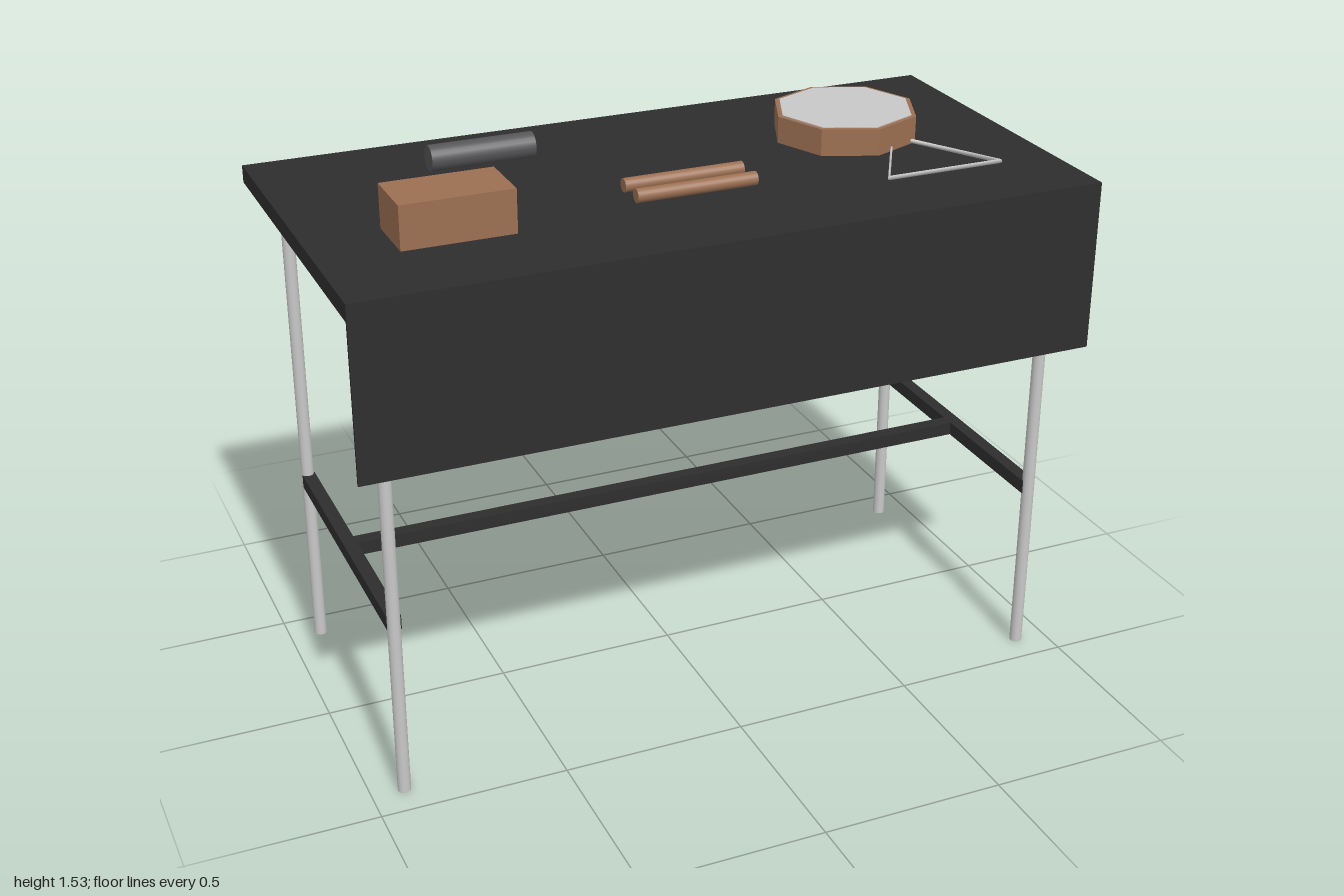
import * as THREE from 'three';

const mat = (name, color) => Object.assign(new THREE.MeshStandardMaterial({ color }), { name });

export function createModel() {
  const black = mat('black', 0x2e2e2e);
  const metal = mat('metal', 0xc8c8c8);
  const wood = mat('wood', 0x9c7052);
  const skin = mat('drum skin', 0xc8c8c8);
  const grey = mat('dark grey', 0x555558);

  const model = new THREE.Group();
  model.name = 'percussionTable';

  const add = (name, geometry, material, x, y, z) => {
    const mesh = new THREE.Mesh(geometry, material);
    mesh.name = name;
    mesh.position.set(x, y, z);
    model.add(mesh);
    return mesh;
  };
  const box = (name, material, w, h, d, x, y, z) =>
    add(name, new THREE.BoxGeometry(w, h, d), material, x, y, z);
  const rodX = (name, material, r, length, x, y, z) =>
    add(name, new THREE.CylinderGeometry(r, r, length, 24).rotateZ(Math.PI / 2), material, x, y, z);

  // Top and hanging front panel
  box('tableTop', black, 2, 0.047, 0.995, 0, 1.384, -0.003);
  box('frontPanel', black, 2, 0.463, 0.008, 0, 1.176, 0.498);

  // Legs with a side brace between each pair
  for (const sx of [-1, 1]) {
    for (const sz of [-1, 1]) {
      add('leg', new THREE.CylinderGeometry(0.017, 0.017, 1.362, 24), metal, sx * 0.913, 0.681, sz * 0.413 - 0.002);
    }
    box('sideBrace', black, 0.036, 0.038, 0.826, sx * 0.911, 0.498, -0.002);
  }
  box('longBrace', black, 1.822, 0.038, 0.038, 0, 0.498, -0.002);

  // Wooden block and shaker tube
  box('woodBlock', wood, 0.295, 0.116, 0.167, -0.65, 1.47, 0.174);
  rodX('shaker', grey, 0.035, 0.285, -0.427, 1.451, -0.24);

  // Pair of sticks
  for (const z of [0.107, 0.19]) rodX('stick', wood, 0.0185, 0.33, -0.002, 1.436, z);

  // Eight-sided frame drum
  const frame = new THREE.CylinderGeometry(0.2, 0.2, 0.073, 8).toNonIndexed();
  frame.computeVertexNormals();
  add('drumFrame', frame, wood, 0.563, 1.45, -0.092);
  add('drumSkin', new THREE.CylinderGeometry(0.187, 0.187, 0.003, 8), skin, 0.563, 1.4873, -0.092);

  // Metal triangle lying flat, point toward the back
  const triangle = new THREE.TorusGeometry(0.19, 0.006, 8, 3).rotateZ(Math.PI / 2).rotateX(-Math.PI / 2);
  add('triangle', triangle, metal, 0.66, 1.421, 0.194);

  return model;
}
